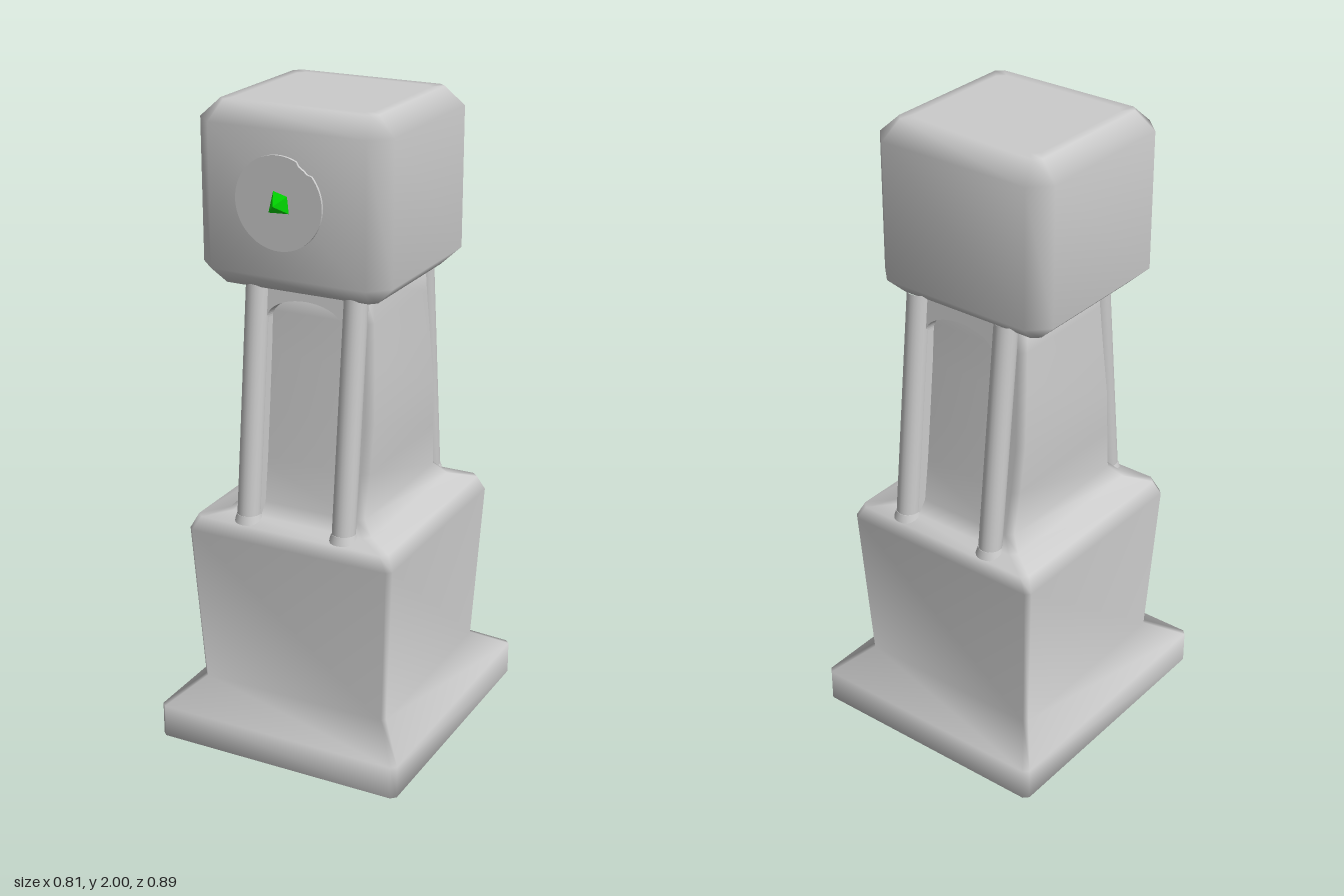
import * as THREE from 'three';
import { ConvexGeometry } from 'three/addons/geometries/ConvexGeometry.js';

const grey = new THREE.MeshStandardMaterial({ color: 0xcccccc });
const green = new THREE.MeshStandardMaterial({ color: 0x00dd00, flatShading: true });

function part(name, geometry, material = grey) {
  const mesh = new THREE.Mesh(geometry, material);
  mesh.name = name;
  return mesh;
}

// Skins a stack of chamfered rectangles [y, halfX, halfZ, chamfer]
// with smooth normals and closes both ends.
function loft(rows) {
  const pos = [], idx = [], n = 8;
  for (const [y, x, z, c] of rows) {
    const ring = [[x, -z + c], [x, z - c], [x - c, z], [-x + c, z],
      [-x, z - c], [-x, -z + c], [-x + c, -z], [x - c, -z]];
    for (const [px, pz] of ring) pos.push(px, y, pz);
  }
  for (let i = 0; i < rows.length - 1; i++) {
    for (let j = 0; j < n; j++) {
      const a = i * n + j, b = i * n + (j + 1) % n;
      idx.push(a, a + n, b + n, a, b + n, b);
    }
  }
  const top = (rows.length - 1) * n;
  for (let j = 1; j < n - 1; j++) {
    idx.push(0, j, j + 1);
    idx.push(top, top + j + 1, top + j);
  }
  const g = new THREE.BufferGeometry();
  g.setAttribute('position', new THREE.Float32BufferAttribute(pos, 3));
  g.setIndex(idx);
  g.computeVertexNormals();
  return g;
}

// Leaning plate with an arched opening, and its two round pillars
function archSide(name) {
  const side = new THREE.Group();
  side.name = name;
  const s = new THREE.Shape();
  s.moveTo(0.165, 0);
  s.lineTo(0.165, 0.75);
  s.lineTo(-0.165, 0.75);
  s.lineTo(-0.165, 0);
  s.lineTo(-0.125, 0);
  s.lineTo(-0.125, 0.63);
  s.absellipse(0, 0.63, 0.125, 0.065, Math.PI, 0, true);
  s.lineTo(0.125, 0);
  const plate = part('archPlate', new THREE.ExtrudeGeometry(s, { depth: 0.07, bevelEnabled: false, curveSegments: 16 }));
  plate.geometry.translate(0, 0, -0.07);
  plate.rotation.x = -0.105;
  plate.position.set(0, 0.74, 0.302);
  side.add(plate);

  for (const x of [-0.16, 0.16]) {
    const from = new THREE.Vector3(x, 0.73, 0.302), to = new THREE.Vector3(x, 1.48, 0.22);
    const path = new THREE.LineCurve3(from, to);
    side.add(part('pillar', new THREE.TubeGeometry(path, 1, 0.036, 20)));
    const foot = part('pillarFoot', new THREE.CylinderGeometry(0.036, 0.044, 0.025, 20));
    foot.position.set(x, 0.75, 0.3);
    side.add(foot);
  }
  return side;
}

export function createModel() {
  const model = new THREE.Group();
  model.name = 'monument';

  // Pedestal on a flat foot, flowing into the bulging neck
  model.add(part('pedestalAndNeck', loft([
    [0, 0.375, 0.413, 0.012], [0, 0.407, 0.443, 0.015],
    [0.105, 0.407, 0.443, 0.015], [0.18, 0.315, 0.326, 0.012],
    [0.69, 0.342, 0.354, 0.015], [0.735, 0.32, 0.342, 0.02],
    [0.752, 0.24, 0.29, 0.02], [0.79, 0.203, 0.26, 0.02],
    [0.93, 0.21, 0.241, 0.02], [1.08, 0.215, 0.225, 0.02],
    [1.25, 0.207, 0.208, 0.02], [1.38, 0.2, 0.198, 0.02], [1.48, 0.195, 0.193, 0.02],
  ])));

  // Arched sides, front and back
  const front = archSide('frontArch'), back = archSide('backArch');
  back.rotation.y = Math.PI;
  front.position.x = back.position.x = 0.003;
  model.add(front, back);

  // Chamfered head block, a little off centre
  const head = part('head', loft([
    [1.462, 0.22, 0.205, 0.02], [1.462, 0.25, 0.235, 0.02], [1.517, 0.307, 0.2925, 0.058],
    [1.945, 0.307, 0.2925, 0.058], [2, 0.25, 0.235, 0.02], [2, 0.22, 0.205, 0.02],
  ]));
  head.position.set(-0.015, 0, 0.0145);
  model.add(head);

  // Dial with a small notch in its rim
  const dial = new THREE.Shape();
  for (let i = 0; i < 72; i++) {
    const a = i * Math.PI / 36, r = i > 8 && i < 13 ? 0.13 : 0.138;
    dial[i ? 'lineTo' : 'moveTo'](r * Math.cos(a), r * Math.sin(a));
  }
  const disc = part('dial', new THREE.ExtrudeGeometry(dial, { depth: 0.02, bevelEnabled: false }));
  disc.position.set(-0.036, 1.738, 0.295);
  model.add(disc);

  // Faceted gem
  const gem = [[-0.07, 1.706, 0.312], [0.003, 1.71, 0.312], [-0.003, 1.765, 0.312],
    [-0.052, 1.778, 0.312], [-0.04, 1.735, 0.34]].map((p) => new THREE.Vector3(...p));
  model.add(part('gem', new ConvexGeometry(gem), green));

  return model;
}
